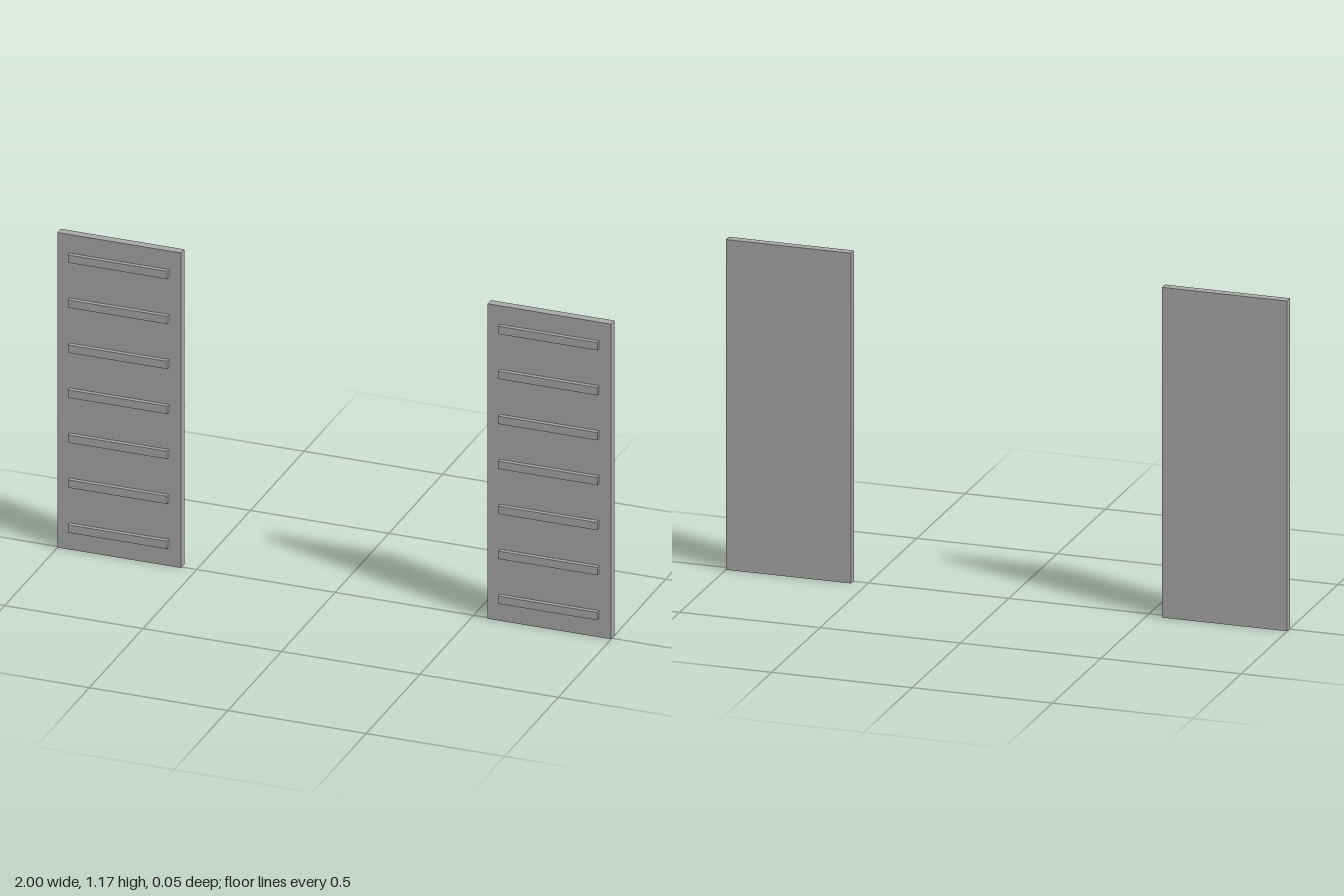
import * as THREE from 'three';

const gray = new THREE.MeshStandardMaterial({ color: 0xa6a6a6 });
gray.name = 'gray';

function box(name, w, h, d, x, y, z) {
  const mesh = new THREE.Mesh(new THREE.BoxGeometry(w, h, d), gray);
  mesh.name = name;
  mesh.position.set(x, y, z);
  return mesh;
}

// Flat upright panel with seven raised slats on its front
function createShutter(name) {
  const shutter = new THREE.Group();
  shutter.name = name;
  shutter.add(box('panel', 0.446, 1.173, 0.031, 0, 0.5865, -0.008));
  for (let i = 0; i < 7; i++) {
    shutter.add(box('slat', 0.358, 0.029, 0.016, 0, 0.0845 + i * 0.1675, 0.0155));
  }
  return shutter;
}

export function createModel() {
  const model = new THREE.Group();
  model.name = 'shutters';
  for (const [name, side] of [['leftShutter', 1], ['rightShutter', -1]]) {
    const shutter = createShutter(name);
    shutter.position.x = side * 0.777;
    model.add(shutter);
  }
  return model;
}
